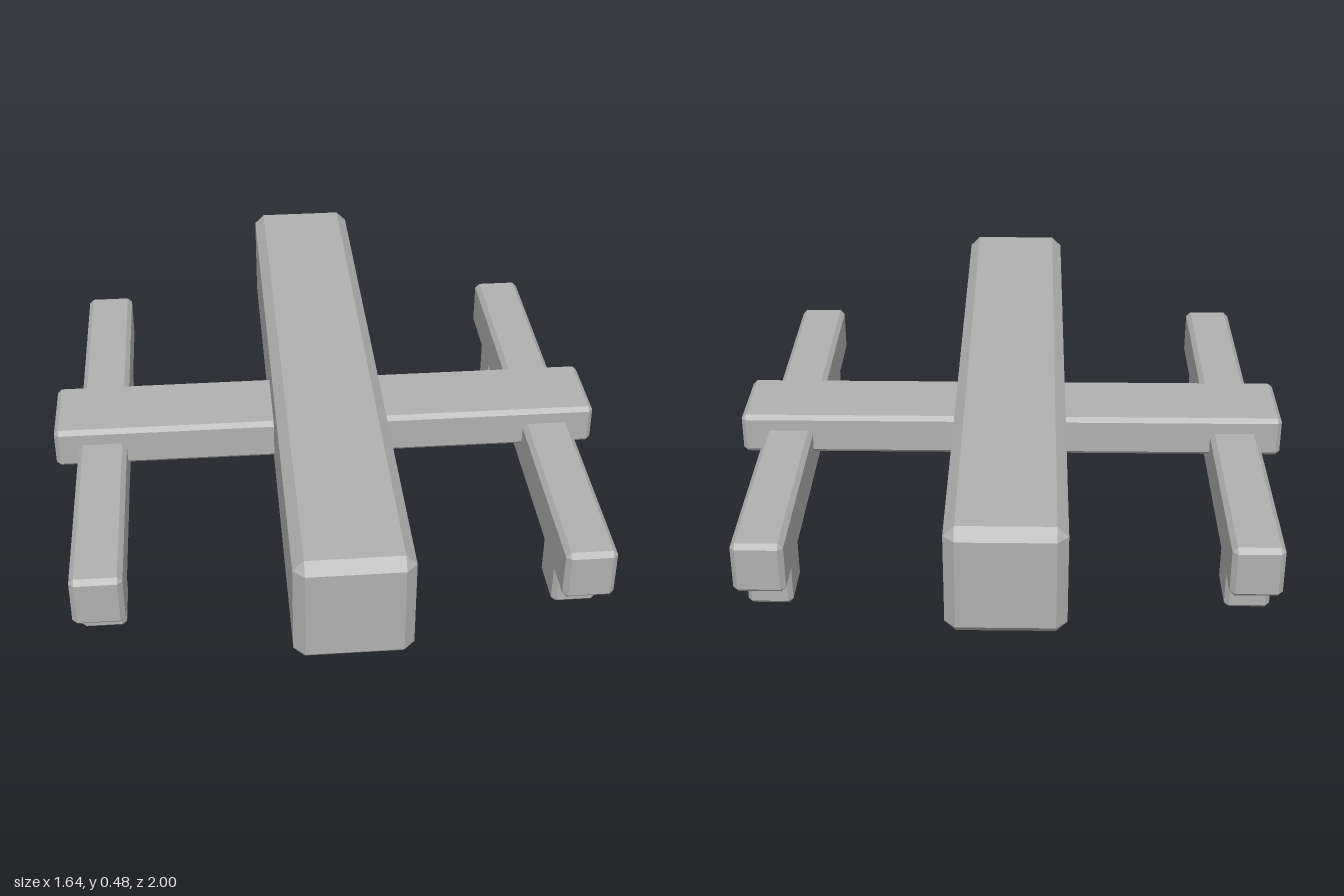
import * as THREE from 'three';
import { ConvexGeometry } from 'three/addons/geometries/ConvexGeometry.js';

const grey = new THREE.MeshStandardMaterial({ color: 0xb0b0b0 });
grey.name = 'grey';

// Box with flat chamfered edges and corners, given by its full size
function chamferedBox(width, height, depth, bevel) {
  const half = [width / 2, height / 2, depth / 2];
  const points = [];
  for (const sx of [-1, 1]) for (const sy of [-1, 1]) for (const sz of [-1, 1]) {
    for (let face = 0; face < 3; face++) {
      const [x, y, z] = half.map((h, axis) => (axis === face ? h : h - bevel));
      points.push(new THREE.Vector3(sx * x, sy * y, sz * z));
    }
  }
  return new ConvexGeometry(points);
}

export function createModel() {
  const model = new THREE.Group();
  model.name = 'beamFrame';

  function add(name, geometry, x, y, z, parent = model) {
    const mesh = new THREE.Mesh(geometry, grey);
    mesh.name = name;
    mesh.position.set(x, y, z);
    parent.add(mesh);
  }

  // Heavy central beam and the arm crossing it
  add('mainBeam', chamferedBox(0.32, 0.32, 2, 0.03), 0, 0.325, 0);
  add('crossArm', chamferedBox(1.64, 0.125, 0.256, 0.013), 0, 0.275, 0);

  // Three long runners, each standing on two feet
  const runner = chamferedBox(0.145, 0.155, 1.544, 0.014);
  const foot = chamferedBox(0.128, 0.155, 0.16, 0.013);
  for (const [side, x] of [['right', -0.677], ['centre', 0], ['left', 0.677]]) {
    const skid = new THREE.Group();
    skid.name = side + 'Skid';
    add(side + 'Runner', runner, x, 0.2125, 0, skid);
    add(side + 'FrontFoot', foot, x, 0.0775, 0.55, skid);
    add(side + 'BackFoot', foot, x, 0.0775, -0.55, skid);
    model.add(skid);
  }
  return model;
}
